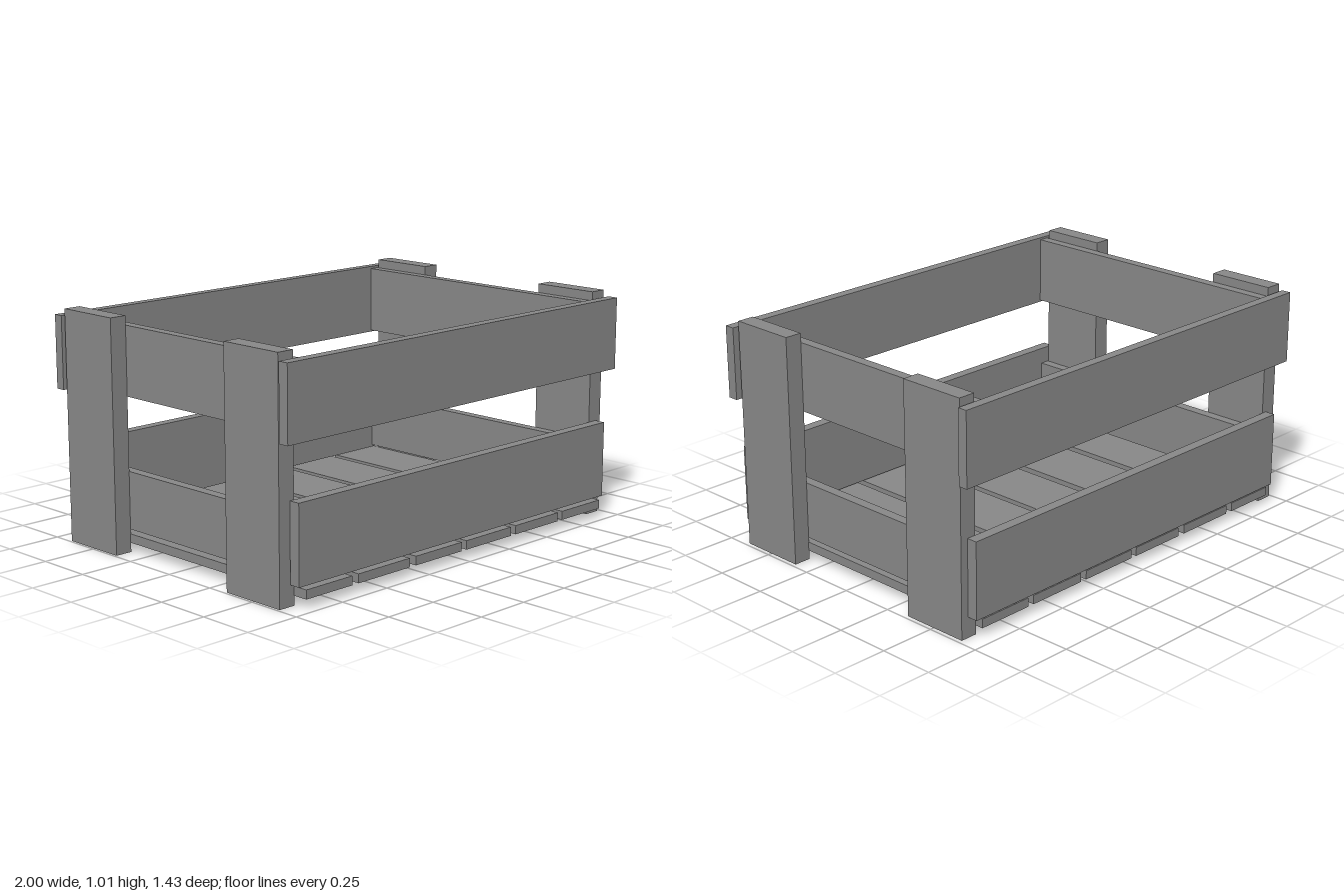
import * as THREE from 'three';

export function createModel() {
  const crate = new THREE.Group();
  crate.name = 'crate';
  const wood = new THREE.MeshStandardMaterial({ color: 0x888888 });
  wood.name = 'greyWood';

  // A board given by its extents along each axis
  function board(name, [x0, x1], [y0, y1], [z0, z1]) {
    const mesh = new THREE.Mesh(new THREE.BoxGeometry(x1 - x0, y1 - y0, z1 - z0), wood);
    mesh.name = name;
    mesh.position.set((x0 + x1) / 2, (y0 + y1) / 2, (z0 + z1) / 2);
    crate.add(mesh);
  }

  // Corner posts and end boards, right then left
  const ends = [
    { side: 'right', post: [-0.99, -0.911], plank: [-0.912, -0.866] },
    { side: 'left', post: [0.904, 0.982], plank: [0.86, 0.905] },
  ];
  for (const { side, post, plank } of ends) {
    board(side + 'FrontPost', post, [0, 1.015], [0.341, 0.647]);
    board(side + 'BackPost', post, [0, 1.015], [-0.659, -0.353]);
    board(side + 'UpperEndBoard', plank, [0.673, 0.975], [-0.667, 0.662]);
    board(side + 'LowerEndBoard', plank, [0.1, 0.352], [-0.659, 0.651]);
  }

  // Long boards on the front and back
  board('frontUpperBoard', [-1, 1], [0.665, 0.985], [0.662, 0.709]);
  board('backUpperBoard', [-1, 1], [0.665, 0.985], [-0.713, -0.67]);
  board('frontLowerBoard', [-0.936, 0.946], [0.09, 0.428], [0.651, 0.7]);
  board('backLowerBoard', [-0.936, 0.946], [0.09, 0.428], [-0.706, -0.659]);

  // Floor slats
  const slats = [
    [-0.913, -0.662], [-0.626, -0.331], [-0.294, -0.015],
    [0.015, 0.3], [0.331, 0.615], [0.645, 0.907],
  ];
  slats.forEach((x, i) => board('floorSlat' + (i + 1), x, [0.041, 0.08], [-0.698, 0.716]));

  return crate;
}
